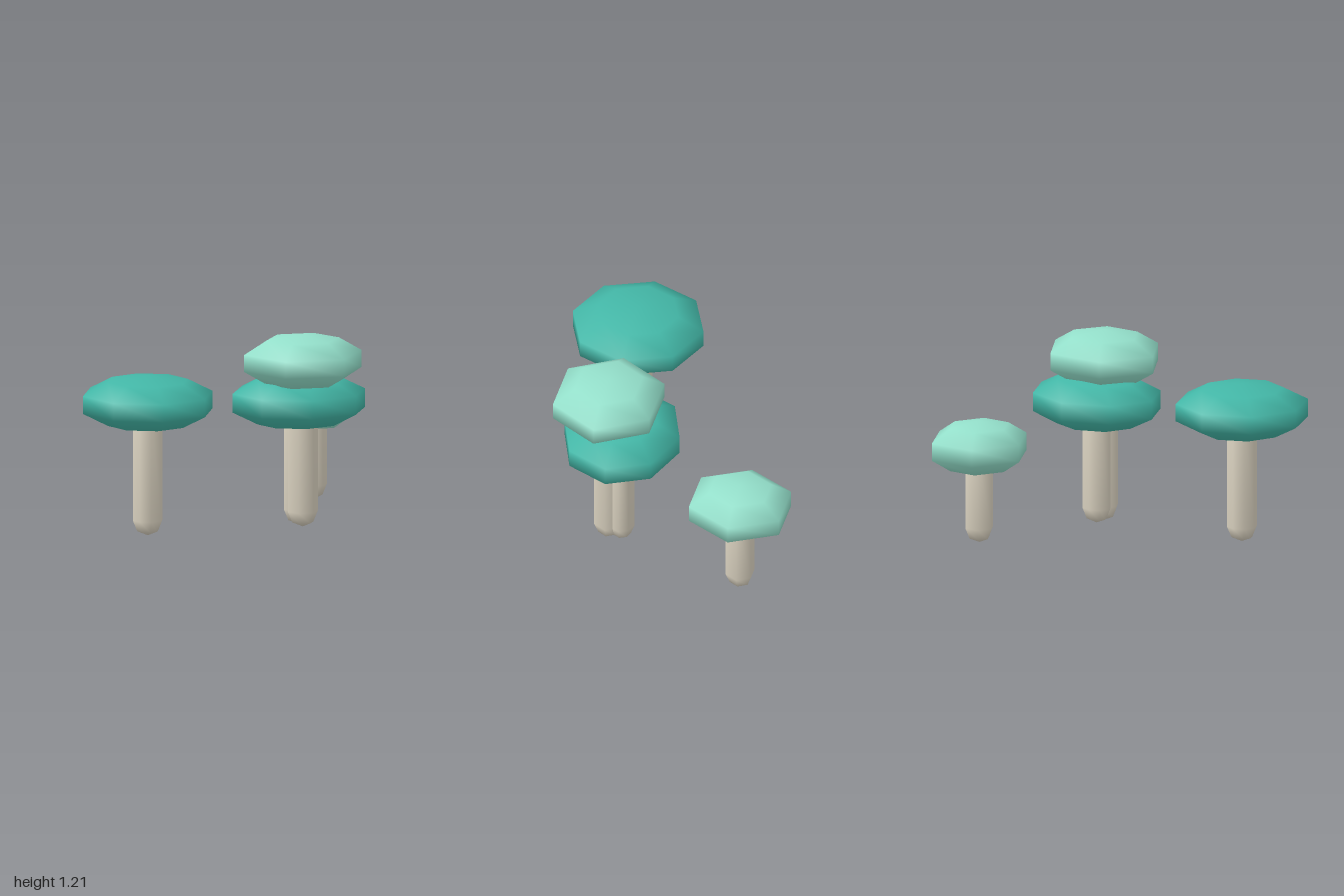
import * as THREE from 'three';

const material = (name, color) => {
  const m = new THREE.MeshStandardMaterial({ color });
  m.name = name;
  return m;
};

// Smooth low-poly solid turned from a bottom-to-top profile, with a corner on the x axis
function turned(profile, sides, rx, rz) {
  const points = profile.map(([r, y]) => new THREE.Vector2(r, y));
  const geo = new THREE.LatheGeometry(points, sides, Math.PI / 2);
  // Poles point straight up or down
  const { position, normal } = geo.attributes;
  for (let i = 0; i < position.count; i++) {
    const k = i % points.length;
    if (k === 0) normal.setXYZ(i, 0, -1, 0);
    if (k === points.length - 1) normal.setXYZ(i, 0, 1, 0);
  }
  return geo.scale(rx, 1, rz);
}

// Flattened capsule crown: straight band of half height `band`, domes of height `dome`
function crownProfile(band, dome) {
  const half = [[1, band], [0.615, band + dome * 0.71], [0, band + dome]];
  return [...half.map(([r, y]) => [r, -y]).reverse(), ...half];
}

// Round-footed trunk
const trunkProfile = (top) => [[0, 0], [0.7, 0.027], [1, 0.095], [1, top - 0.03], [0, top]];

export function createModel() {
  const group = new THREE.Group();
  const teal = material('deep teal leaves', 0x43b7a7);
  const mint = material('mint leaves', 0x94e0cb);
  const bark = material('pale bark', 0xd9d1bf);

  const trees = [
    { name: 'wideTree', x: -0.59, z: 0.42, y: 0.83, rx: 0.41, rz: 0.415, band: 0.055, dome: 0.115, sides: 8, leaf: teal, tx: 0.094, tz: 0.092 },
    { name: 'middleTree', x: 0.405, z: 0.265, y: 0.772, rx: 0.42, rz: 0.365, band: 0.058, dome: 0.115, sides: 8, leaf: teal, tx: 0.094, tz: 0.08 },
    { name: 'tallTree', x: 0.41, z: 0.35, y: 1.033, rx: 0.372, rz: 0.353, band: 0.053, dome: 0.12, sides: 6, leaf: mint, tx: 0.095, tz: 0.092 },
    { name: 'smallTree', x: 0.695, z: -0.558, y: 0.604, rx: 0.303, rz: 0.33, band: 0.054, dome: 0.112, sides: 6, leaf: mint, tx: 0.093, tz: 0.093 },
  ];

  for (const t of trees) {
    const tree = new THREE.Group();
    tree.name = t.name;
    tree.position.set(t.x, 0, t.z);

    const trunk = new THREE.Mesh(turned(trunkProfile(t.y), t.sides, t.tx, t.tz), bark);
    trunk.name = 'trunk';

    const crown = new THREE.Mesh(turned(crownProfile(t.band, t.dome), t.sides, t.rx, t.rz), t.leaf);
    crown.name = 'crown';
    crown.position.y = t.y;

    tree.add(trunk, crown);
    group.add(tree);
  }
  return group;
}
